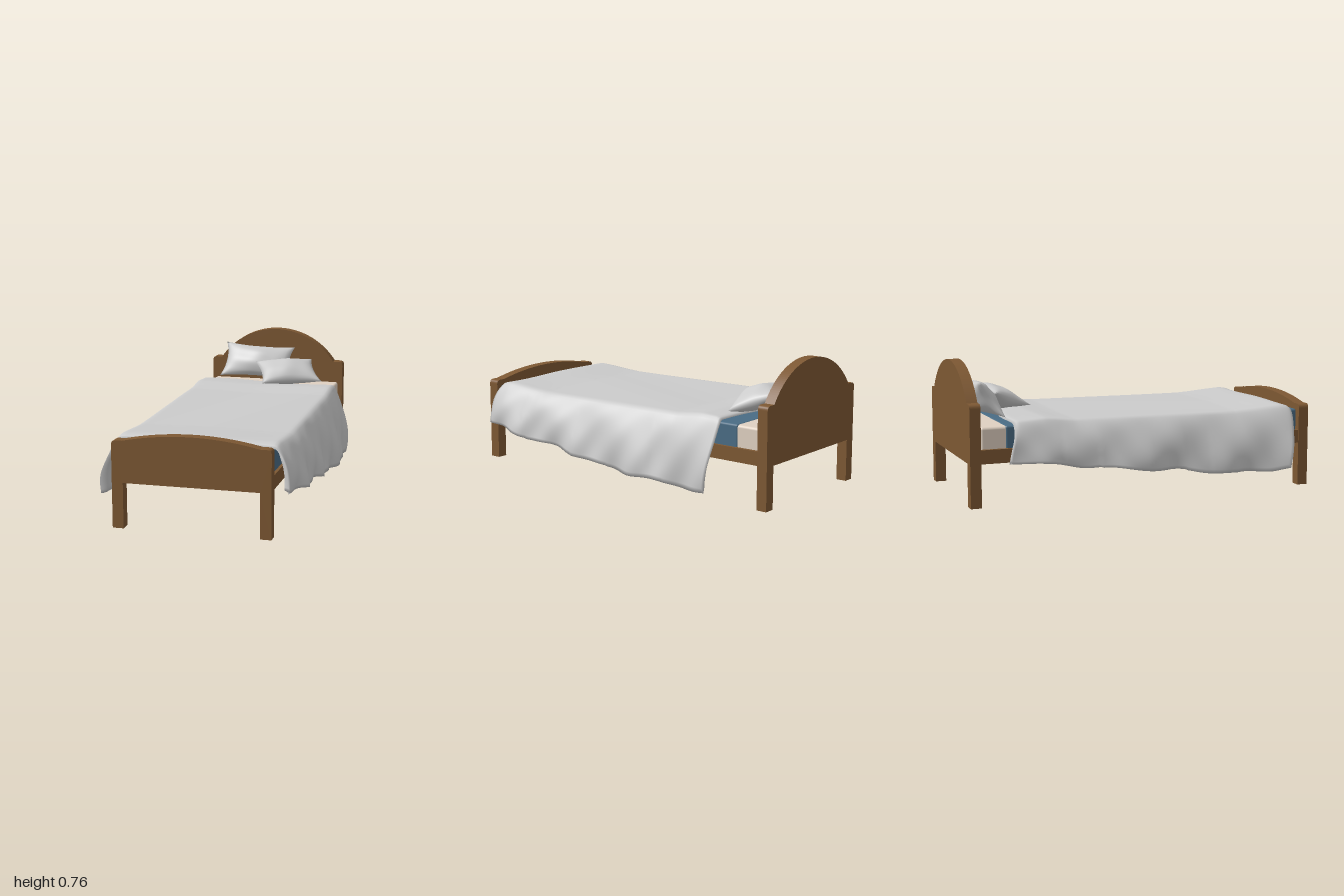
import * as THREE from 'three';
import { mergeVertices } from 'three/addons/utils/BufferGeometryUtils.js';
import { RoundedBoxGeometry } from 'three/addons/geometries/RoundedBoxGeometry.js';

const mat = (color) => new THREE.MeshStandardMaterial({ color });
const { clamp, lerp, smoothstep } = THREE.MathUtils;

function add(parent, name, geometry, material, x = 0, y = 0, z = 0) {
  const mesh = new THREE.Mesh(geometry, material);
  mesh.name = name;
  mesh.position.set(x, y, z);
  parent.add(mesh);
  return mesh;
}

// End board: two legs, rounded shoulders and a circular arch
function boardGeometry(bottom, shoulder, peak) {
  const w = 0.425, leg = 0.365, rail = 0.245, r = 0.025, a = 0.365;
  const rise = peak - shoulder;
  const radius = (a * a + rise * rise) / (2 * rise);
  const cy = peak - radius;
  const angle = Math.atan2(shoulder - cy, a);
  const s = new THREE.Shape();
  s.moveTo(-w, bottom);
  s.lineTo(-leg, bottom);
  s.lineTo(-leg, rail);
  s.lineTo(leg, rail);
  s.lineTo(leg, bottom);
  s.lineTo(w, bottom);
  s.lineTo(w, shoulder - r);
  s.quadraticCurveTo(w, shoulder, w - r, shoulder);
  s.lineTo(a, shoulder);
  s.absarc(0, cy, radius, angle, Math.PI - angle, false);
  s.lineTo(-w + r, shoulder);
  s.quadraticCurveTo(-w, shoulder, -w, shoulder - r);
  s.closePath();
  return new THREE.ExtrudeGeometry(s, { depth: 0.06, bevelEnabled: false, curveSegments: 32 });
}

// Closed soft body from two sheets that meet along their rims; fn(u, v, side) with u, v in -1..1.
// The sheet with side = +1 faces along (dP/du x dP/dv).
function softBody(nu, nv, fn) {
  const pos = [], idx = [];
  for (const side of [1, -1]) {
    const base = pos.length / 3;
    for (let j = 0; j <= nv; j++) {
      for (let i = 0; i <= nu; i++) pos.push(...fn(2 * i / nu - 1, 2 * j / nv - 1, side));
    }
    for (let j = 0; j < nv; j++) {
      for (let i = 0; i < nu; i++) {
        const a = base + j * (nu + 1) + i, b = a + 1, c = a + nu + 1, d = c + 1;
        if (side > 0) idx.push(a, b, d, a, d, c);
        else idx.push(a, d, b, a, c, d);
      }
    }
  }
  let g = new THREE.BufferGeometry();
  g.setAttribute('position', new THREE.Float32BufferAttribute(pos, 3));
  g.setIndex(idx);
  g = mergeVertices(g, 1e-5);
  g.computeVertexNormals();
  return g;
}

// Pillow spanned by four corners, with drawn-in edges and a bulging middle
function pillowGeometry(bl, br, tr, tl, half) {
  const [A, B, C, D] = [bl, br, tr, tl].map((p) => new THREE.Vector3(...p));
  const normal = C.clone().sub(A).cross(D.clone().sub(B)).normalize();
  return softBody(28, 22, (u, v, side) => {
    const pu = u * (1 - 0.11 * (1 - v * v)), pv = v * (1 - 0.13 * (1 - u * u));
    const low = A.clone().lerp(B, (pu + 1) / 2), high = D.clone().lerp(C, (pu + 1) / 2);
    const p = low.lerp(high, (pv + 1) / 2);
    const puff = Math.pow(Math.max(0, (1 - u * u) * (1 - v * v)), 0.6);
    const crease = 1 + 0.07 * Math.sin(5 * u + 3 * v) * Math.sin(4 * v - 2 * u);
    p.addScaledVector(normal, side * half * puff * crease);
    return p.toArray();
  });
}

// Piecewise-linear lookup in [z, value] pairs
function lookup(table, z) {
  for (let i = 1; i < table.length; i++) {
    const [z0, a] = table[i - 1], [z1, b] = table[i];
    if (z <= z1) return lerp(a, b, smoothstep(clamp((z - z0) / (z1 - z0), 0, 1), -0.2, 1.2));
  }
  return table[table.length - 1][1];
}

// Hem height and outward reach of each hanging side, along z
const leftDrape = {
  hem: [[-0.66, 0.065], [-0.4, 0.09], [0, 0.11], [0.25, 0.15], [0.6, 0.19], [0.95, 0.24]],
  reach: [[-0.66, 0.505], [-0.3, 0.54], [0, 0.535], [0.35, 0.525], [0.65, 0.54], [0.95, 0.5]],
};
const rightDrape = {
  hem: [[-0.8, 0.26], [-0.3, 0.2], [0.2, 0.15], [0.5, 0.115], [0.84, 0.125]],
  reach: [[-0.8, 0.505], [-0.5, 0.495], [-0.3, 0.53], [0, 0.53], [0.35, 0.52], [0.84, 0.545]],
};
const crown = [[-0.75, 0.462], [-0.58, 0.472], [-0.42, 0.455], [0.55, 0.455], [0.82, 0.475], [0.92, 0.46]];

// Blanket: flat over the mattress, hanging in soft folds on both sides
function blanketGeometry() {
  const flat = 0.56;
  return softBody(84, 100, (u, v, side) => {
    const t = (1 - v) / 2, s = Math.sign(u), au = Math.abs(u);
    const q = clamp((au - flat) / (1 - flat), 0, 1);
    const head = -0.735 + 0.065 * u + 0.012 * Math.sin(7 * u);
    const foot = 0.888 + 0.05 * u * u * u + 0.008 * Math.sin(9 * u + 1);
    let z = lerp(head, foot, t);
    const drape = s > 0 ? leftDrape : rightDrape;
    const top = lookup(crown, z) + 0.003 * Math.sin(6 * u + 3 * z);
    const hem = lookup(drape.hem, z) + 0.007 * Math.sin(17 * z + s);
    const reach = lookup(drape.reach, z);
    const fold = q * (0.012 * Math.sin(13 * z + 4 * q + s) + 0.008 * Math.sin(29 * z - 6 * q));
    let x = u / flat * 0.415, y = top;
    if (q > 0) {
      x = s * (0.415 + (reach - 0.415) * Math.pow(Math.sin(q * Math.PI / 2), 0.85) + fold);
      y = top - (top - hem) * Math.pow(q, 1.2);
    }
    // rounded rims: full thickness shortly inside every edge
    const edge = Math.min(1, (1 - au) / 0.05, (1 - Math.abs(v)) / 0.05);
    const round = Math.sqrt(Math.max(0, edge * (2 - edge)));
    const thick = round * lerp(0.018, 0.04, q);
    const turn = smoothstep(q, 0, 0.5) * Math.PI / 2;
    const offset = side > 0 ? 0 : thick;
    x -= s * Math.sin(turn) * offset;
    y -= Math.cos(turn) * offset;
    if (round < 1) y -= (1 - round) * 0.012 * (1 - q);
    return [x, y, z];
  });
}

export function createModel() {
  const bed = new THREE.Group();
  bed.name = 'bed';
  const wood = mat(0x7d5833), blue = mat(0x4a6c84), cream = mat(0xdfd0c1), cloth = mat(0xcccccc);

  // Wooden frame
  add(bed, 'headboard', boardGeometry(0.01, 0.565, 0.76), wood, 0, 0, -1);
  add(bed, 'footboard', boardGeometry(0, 0.47, 0.51), wood, 0, 0, 0.94);
  add(bed, 'bedBase', new THREE.BoxGeometry(0.83, 0.06, 1.89), wood, 0, 0.275, 0);
  for (const s of [-1, 1]) {
    add(bed, s > 0 ? 'leftRail' : 'rightRail', new THREE.BoxGeometry(0.02, 0.075, 1.89), wood, s * 0.41, 0.2825, 0);
  }

  // Mattress with a coloured sheet over most of its length
  add(bed, 'mattress', new RoundedBoxGeometry(0.8, 0.135, 1.86, 3, 0.015), cream, 0, 0.37, -0.005);
  add(bed, 'sheet', new RoundedBoxGeometry(0.808, 0.137, 1.735, 3, 0.012), blue, 0, 0.372, 0.0675);

  // Bedding
  add(bed, 'blanket', blanketGeometry(), cloth);
  add(bed, 'backPillow', pillowGeometry(
    [-0.335, 0.475, -0.78], [0.115, 0.465, -0.8], [0.118, 0.647, -0.935], [-0.325, 0.668, -0.92], 0.065), cloth);
  add(bed, 'frontPillow', pillowGeometry(
    [0, 0.485, -0.535], [0.342, 0.485, -0.69], [0.23, 0.58, -0.925], [-0.1, 0.577, -0.76], 0.065), cloth);

  return bed;
}
